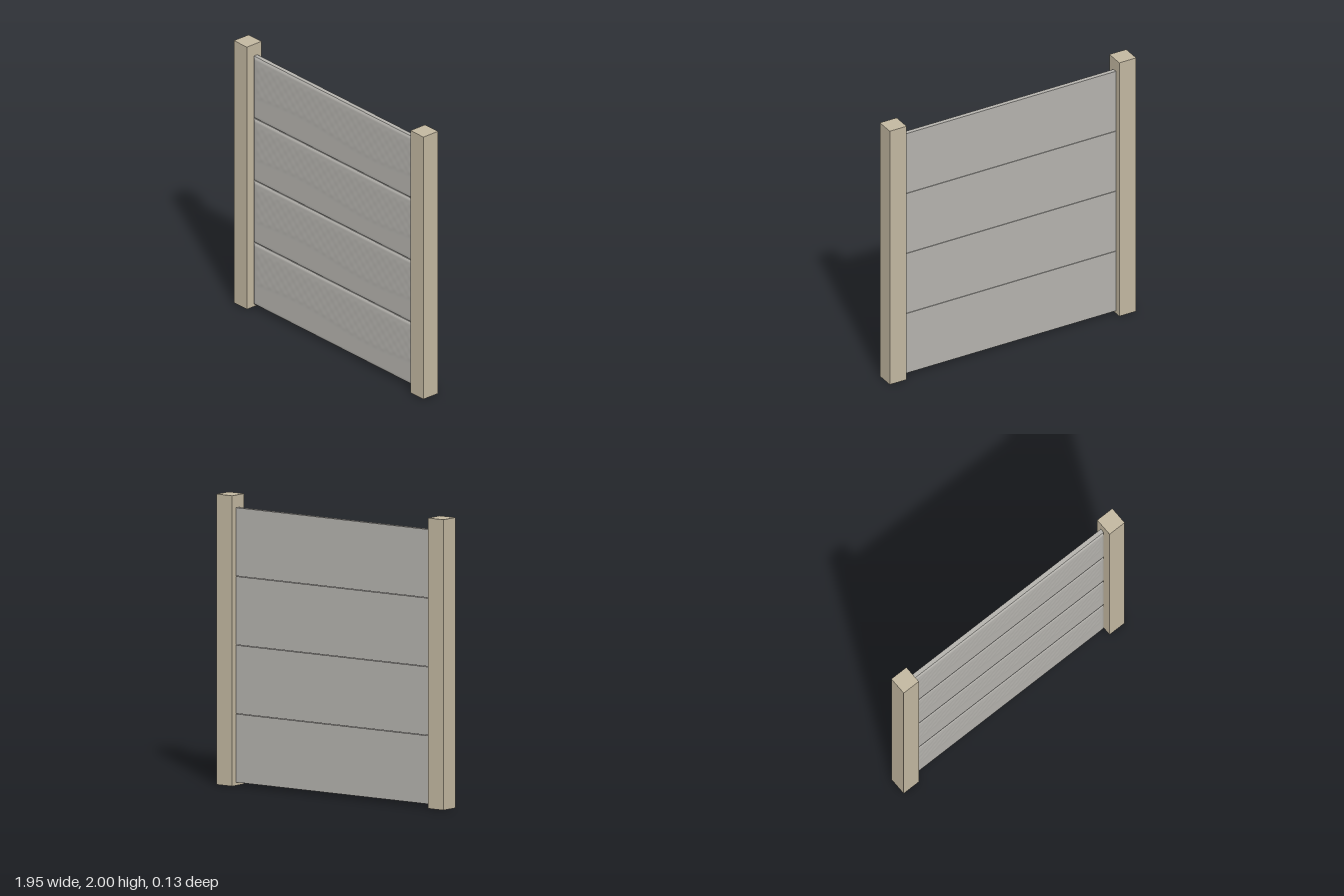
import * as THREE from 'three';

export function createModel() {
  const model = new THREE.Group();
  model.name = 'fencePanel';
  const postMat = new THREE.MeshStandardMaterial({ color: 0xc2b7a0 });
  postMat.name = 'beige post';
  const boardMat = new THREE.MeshStandardMaterial({ color: 0xb4b2ad });
  boardMat.name = 'grey concrete';

  const add = (parent, geometry, material, name, x, y, z) => {
    const mesh = new THREE.Mesh(geometry, material);
    mesh.name = name;
    mesh.position.set(x, y, z);
    parent.add(mesh);
    return mesh;
  };

  // Square posts
  const postGeo = new THREE.BoxGeometry(0.133, 2, 0.133);
  add(model, postGeo, postMat, 'leftPost', 0.907, 1, 0);
  add(model, postGeo, postMat, 'rightPost', -0.907, 1, 0);

  // Height of the textured board face: rounded border, wavy ledge and lattice
  const W = 1.676, H = 0.47, BASE = 0.006, RISE = 0.01;
  const smooth = THREE.MathUtils.smoothstep;
  function relief(x, y) {
    const edge = Math.min(W / 2 - Math.abs(x), H / 2 - Math.abs(y));
    const t = Math.min(edge / 0.02, 1);
    const border = Math.sqrt(1 - (1 - t) * (1 - t));
    const wave = -0.06 - 0.022 * Math.sin(x * 4.4);
    const above = smooth(y, wave - 0.02, wave + 0.02);
    const inner = smooth(edge, 0.02, 0.06);
    const k = Math.PI * 2 / 0.08;
    const lattice = 0.0007 * Math.sin(k * (x - y)) + 0.0004 * Math.sin(k * (x + y));
    return border * RISE + inner * above * (lattice + 0.0015);
  }

  const faceGeo = new THREE.PlaneGeometry(W, H, 144, 48);
  const pos = faceGeo.attributes.position;
  for (let i = 0; i < pos.count; i++) {
    pos.setZ(i, relief(pos.getX(i), pos.getY(i)));
  }
  faceGeo.computeVertexNormals();

  // Four stacked boards: slab behind, textured face in front
  const slabGeo = new THREE.BoxGeometry(W, H, 0.031);
  const tongueGeo = new THREE.BoxGeometry(W, 0.01, 0.012);
  for (let i = 0; i < 4; i++) {
    const board = new THREE.Group();
    board.name = `board${i + 1}`;
    board.position.y = 0.258 + i * 0.4735;
    add(board, slabGeo, boardMat, 'slab', 0, 0, BASE - 0.0155);
    add(board, faceGeo, boardMat, 'texturedFace', 0, 0, BASE);
    // Tongue closing the joint to the board above
    if (i < 3) add(board, tongueGeo, boardMat, 'tongue', 0, H / 2 + 0.00175, -0.01);
    model.add(board);
  }
  return model;
}
